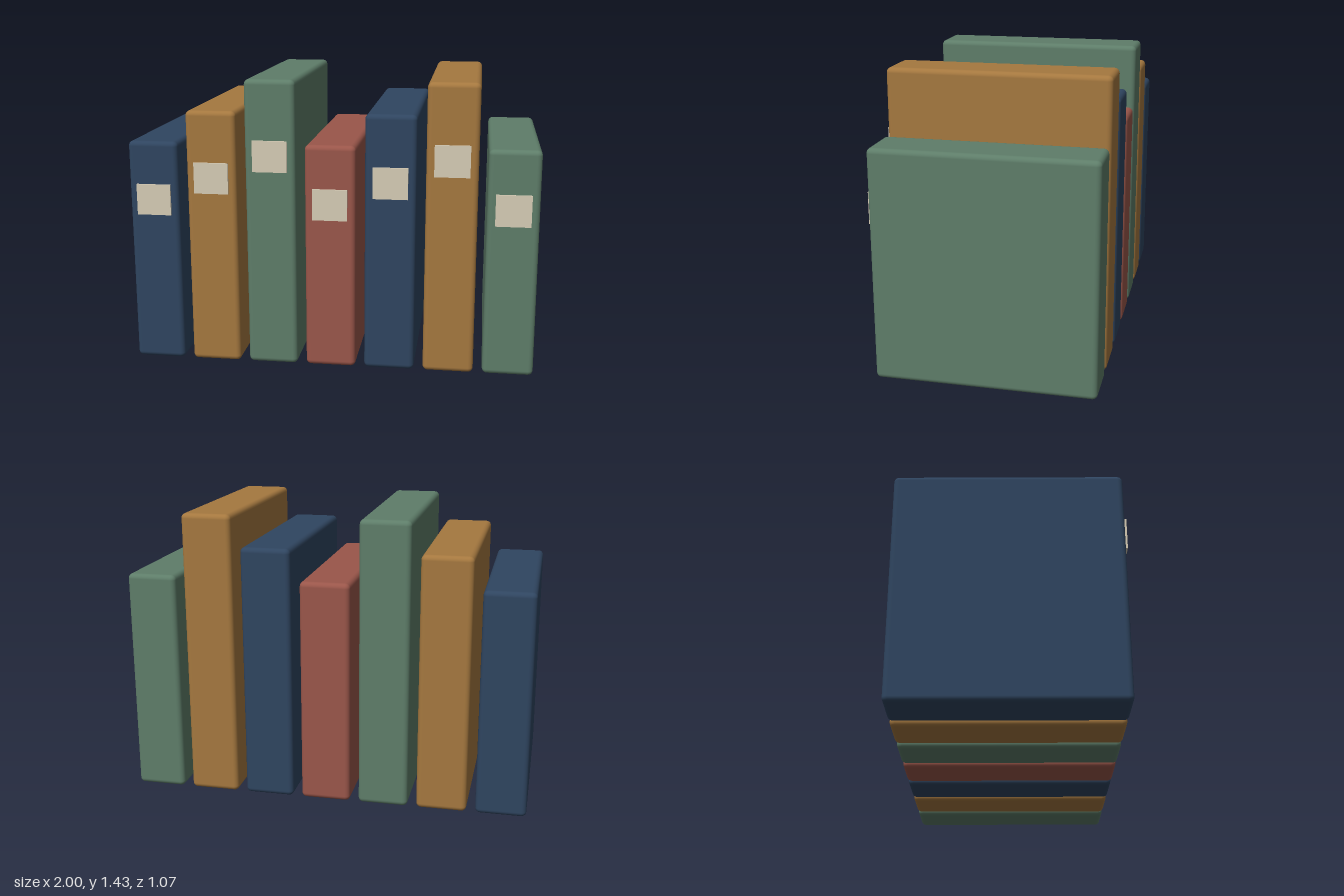
import * as THREE from 'three';
import { RoundedBoxGeometry } from 'three/addons/geometries/RoundedBoxGeometry.js';

const material = (name, color) => {
  const m = new THREE.MeshStandardMaterial({ color });
  m.name = name;
  return m;
};

export function createModel() {
  const group = new THREE.Group();
  group.name = 'bookRow';

  const navy = material('navy', 0x2f4560);
  const ochre = material('ochre', 0xa5783f);
  const green = material('green', 0x5e7d69);
  const red = material('red', 0x9a564a);
  const cream = material('cream', 0xd6ccb5);

  const covers = [navy, ochre, green, red, navy, ochre, green];
  const heights = [1.12, 1.275, 1.43];
  const width = 0.248, spacing = 0.292;
  const back = -0.533, front = 0.522;
  const labelGeometry = new THREE.BoxGeometry(0.17, 0.153, 0.017);

  covers.forEach((cover, i) => {
    const height = heights[i % 3];
    const book = new THREE.Group();
    book.name = `book${i + 1}`;
    book.position.x = (i - 3) * spacing;

    // Solid volume with softly rounded edges
    const body = new THREE.Mesh(new RoundedBoxGeometry(width, height, front - back, 3, 0.025), cover);
    body.name = 'bookBody';
    body.position.set(0, height / 2, (front + back) / 2);

    // Blank spine label, slightly sunk into the cover
    const label = new THREE.Mesh(labelGeometry, cream);
    label.name = 'spineLabel';
    label.position.set(0, height * 0.742, 0.5245);

    book.add(body, label);
    group.add(book);
  });

  return group;
}
